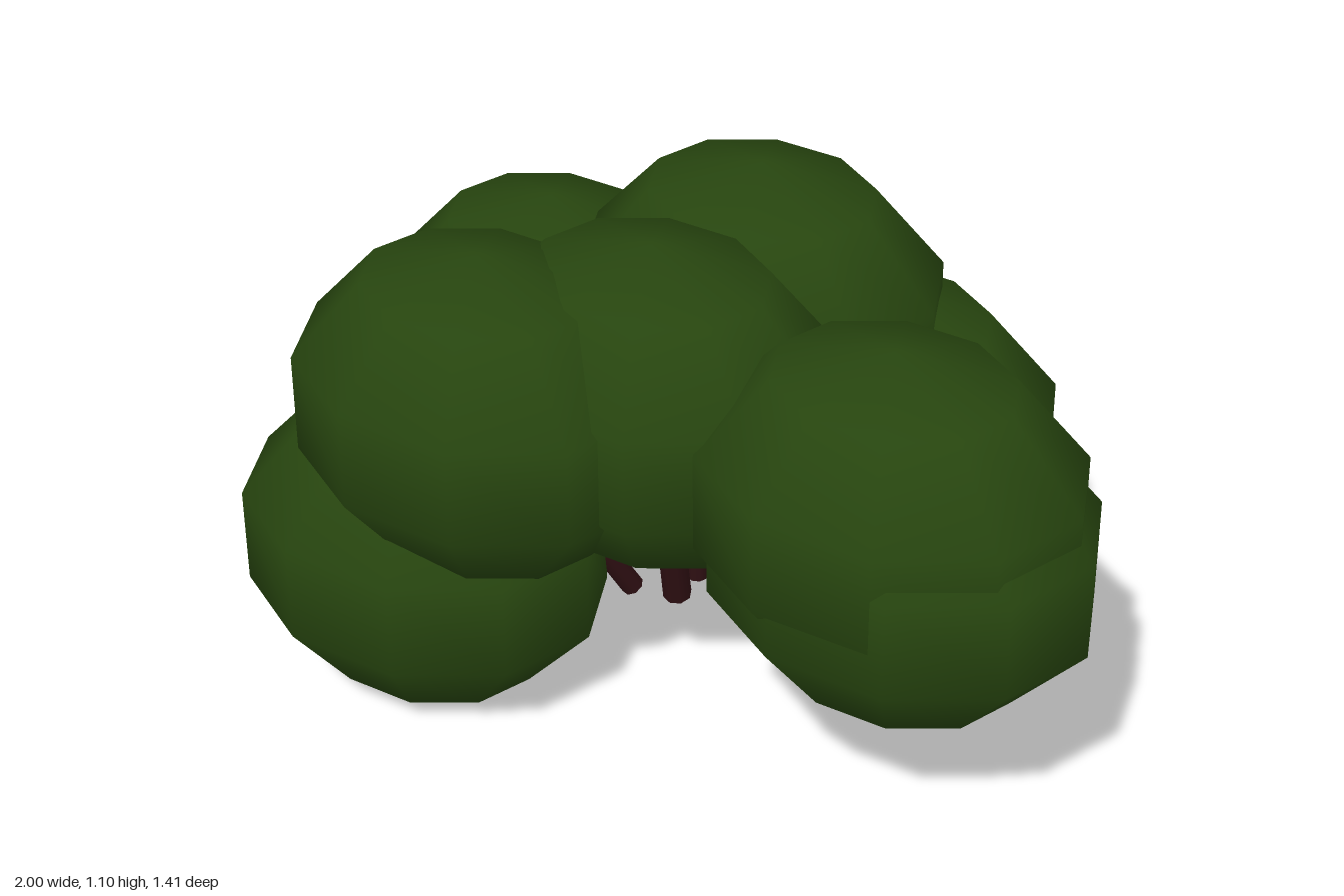
import * as THREE from 'three';

export function createModel() {
  const model = new THREE.Group();
  model.name = 'bush';

  const leafGreen = new THREE.MeshStandardMaterial({ color: 0x27450f });
  leafGreen.name = 'leaf green';
  const barkBrown = new THREE.MeshStandardMaterial({ color: 0x2e0f12 });
  barkBrown.name = 'bark brown';

  // Leaf clumps: coarse spheres, wider than deep
  const clumpGeometry = new THREE.SphereGeometry(0.34, 10, 5);
  clumpGeometry.scale(1.205, 1, 0.985);

  // Each clump has a centre and, where it has one, the lower end and radius of its branch
  const clumps = [
    { at: [-0.61, 0.357, -0.405], from: [-0.32, 0.2, -0.08], r: 0.023 },
    { at: [0.03, 0.73, -0.2], from: [-0.03, 0.22, -0.07], r: 0.022 },
    { at: [-0.245, 0.745, 0.4], from: [-0.08, 0.19, 0.13], r: 0.024 },
    { at: [0.03, 0.76, 0.22], from: [0.01, 0.185, 0.1], r: 0.03 },
    { at: [0.58, 0.735, 0.275], from: [0.24, 0.19, 0.09], r: 0.034 },
    { at: [0.61, 0.645, 0.275] },
    { at: [0.27, 0.485, -0.255], from: [0.1, 0.2, -0.1], r: 0.024 },
    { at: [-0.42, 0.345, 0.375], from: [-0.18, 0.2, 0.165], r: 0.026 },
  ];

  // Branch: straight tapering stick between two points
  const up = new THREE.Vector3(0, 1, 0);
  function addBranch(from, to, radius) {
    const a = new THREE.Vector3(...from);
    const b = new THREE.Vector3(...to);
    const length = a.distanceTo(b);
    const branch = new THREE.Mesh(
      new THREE.CylinderGeometry(radius * 0.85, radius, length, 8), barkBrown);
    branch.name = 'branch';
    branch.position.copy(a).lerp(b, 0.5);
    branch.quaternion.setFromUnitVectors(up, b.sub(a).normalize());
    model.add(branch);
  }

  for (const { at, from, r } of clumps) {
    const clump = new THREE.Mesh(clumpGeometry, leafGreen);
    clump.name = 'leafClump';
    clump.position.set(...at);
    model.add(clump);
    if (from) addBranch(from, at, r);
  }

  // Upright middle stem
  addBranch([0.01, 0.18, 0.02], [0.02, 0.6, 0.02], 0.023);

  return model;
}
